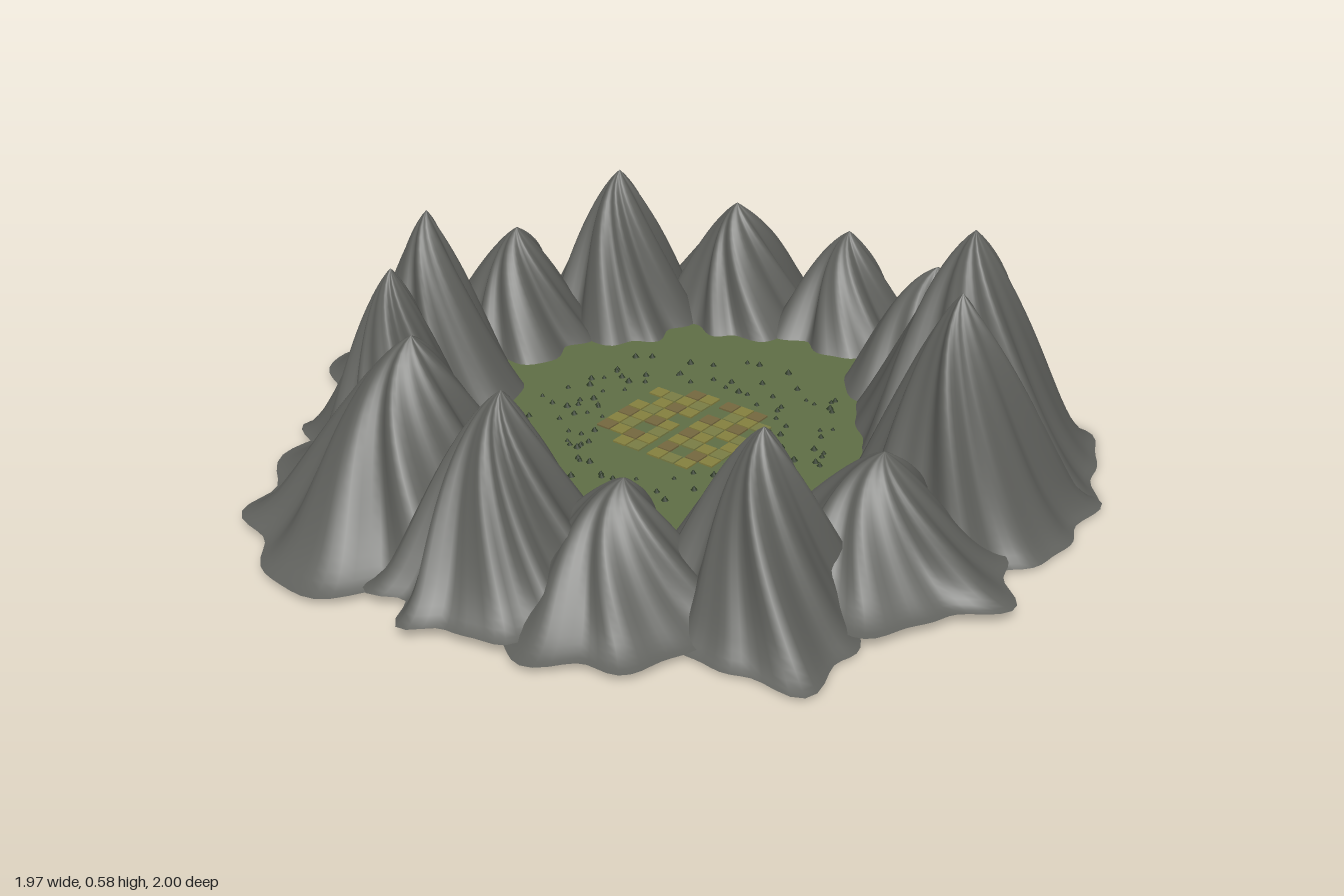
import * as THREE from 'three';

const FLOOR_Y = 0.078;
const paint = (color, side = THREE.FrontSide) => new THREE.MeshStandardMaterial({ color, side });

function seeded(seed) {
  let s = seed;
  return () => (s = (s * 16807) % 2147483647) / 2147483647;
}

// Smooth closed curve through eight radii, starting at +x and turning towards +z
function radiusAt(radii, angle) {
  const n = radii.length;
  const u = ((angle / (2 * Math.PI)) * n + n) % n;
  const i = Math.floor(u), f = u - i;
  const [a, b, c, d] = [-1, 0, 1, 2].map((k) => radii[(i + k + n) % n]);
  return b + 0.5 * f * (c - a + f * (2 * a - 5 * b + 4 * c - d + f * (3 * (b - c) + d - a)));
}

// Open, ridged cone whose ridges swirl around the summit
function mountainGeometry(height, base, radii, seed, ridges) {
  const rand = seeded(seed * 7919 + 13);
  const p1 = rand() * 6.28, p2 = rand() * 6.28, p3 = rand() * 6.28;
  const twist = 0.9 + 0.3 * rand();
  const rings = 20, sides = 80;
  const position = [], index = [];
  for (let i = 0; i <= rings; i++) {
    const t = i / rings;
    // rounded tip, straight flank, gently flared foot
    const fall = 0.4 * Math.pow(1 - t, 1.25) + 0.6 * (0.5 + 0.5 * Math.cos(Math.PI * t));
    for (let j = 0; j < sides; j++) {
      const a = (j / sides) * 2 * Math.PI;
      const ridge = 0.06 * Math.sin(ridges * a + p1) + 0.035 * Math.sin((ridges + 4) * a + p2)
        + 0.04 * Math.sin((ridges - 3) * a + p3);
      const r = t * radiusAt(radii, a) * (1 + ridge * (0.6 + 0.8 * Math.sin(Math.PI * Math.min(t, 0.8))));
      const b = a + twist * (1 - t) * (1 - t);
      position.push(r * Math.cos(b), base + (height - base) * fall, r * Math.sin(b));
      if (i < rings) {
        const k = i * sides, n = (j + 1) % sides;
        if (i > 0) index.push(k + j, k + n, k + sides + j);
        index.push(k + n, k + sides + n, k + sides + j);
      }
    }
  }
  const g = new THREE.BufferGeometry();
  g.setAttribute('position', new THREE.Float32BufferAttribute(position, 3));
  g.setIndex(index);
  g.computeVertexNormals();
  return g;
}

export function createModel() {
  const model = new THREE.Group();
  const add = (parent, name, geometry, material, x, y, z) => {
    const mesh = new THREE.Mesh(geometry, material);
    mesh.name = name;
    mesh.position.set(x, y, z);
    parent.add(mesh);
    return mesh;
  };
  const group = (name) => {
    const g = new THREE.Group();
    g.name = name;
    model.add(g);
    return g;
  };

  // Valley floor, running into the feet of the mountains
  const floor = add(model, 'valleyFloor', new THREE.CircleGeometry(0.65, 64),
    paint(0x5f6e45, THREE.DoubleSide), 0, FLOOR_Y, 0);
  floor.rotation.x = -Math.PI / 2;

  // Ring of mountains
  const range = group('mountainRing');
  const rock = paint(0x5f605c, THREE.DoubleSide);
  let count = 0;
  const mountain = (x, z, height, base, radii, ridges = 7) => {
    count++;
    add(range, 'mountain' + count, mountainGeometry(height, base, radii, count, ridges), rock, x, 0, z);
  };
  mountain(0.29, -0.63, 0.34, 0.03, [0.22, 0.24, 0.38, 0.27, 0.18, 0.16, 0.34, 0.23]);
  mountain(0.52, -0.40, 0.58, 0, [0.34, 0.32, 0.3, 0.35, 0.32, 0.28, 0.31, 0.32]);
  mountain(0.65, -0.13, 0.56, 0.01, [0.28, 0.27, 0.25, 0.27, 0.26, 0.27, 0.27, 0.31]);
  mountain(0.65, 0.16, 0.30, 0.03, [0.29, 0.27, 0.32, 0.3, 0.29, 0.29, 0.26, 0.27]);
  mountain(0.52, 0.42, 0.43, 0.01, [0.24, 0.34, 0.24, 0.29, 0.3, 0.28, 0.24, 0.24], 8);
  mountain(0.28, 0.58, 0.30, 0.02, [0.29, 0.27, 0.33, 0.3, 0.27, 0.25, 0.2, 0.24]);
  mountain(0.02, 0.66, 0.455, 0.03, [0.33, 0.3, 0.29, 0.29, 0.3, 0.25, 0.23, 0.28], 11);
  mountain(-0.29, 0.60, 0.465, 0.02, [0.33, 0.36, 0.4, 0.36, 0.44, 0.36, 0.33, 0.3]);
  mountain(-0.52, 0.42, 0.495, 0.02, [0.25, 0.25, 0.22, 0.22, 0.27, 0.23, 0.2, 0.25], 8);
  mountain(-0.65, 0.16, 0.515, 0.02, [0.3, 0.26, 0.22, 0.23, 0.32, 0.22, 0.19, 0.25]);
  mountain(-0.65, -0.16, 0.36, 0.02, [0.25, 0.26, 0.23, 0.26, 0.23, 0.29, 0.24, 0.25]);
  mountain(-0.52, -0.41, 0.465, 0.02, [0.25, 0.27, 0.24, 0.24, 0.28, 0.24, 0.24, 0.25], 8);
  mountain(-0.29, -0.60, 0.37, 0.03, [0.25, 0.27, 0.2, 0.25, 0.28, 0.24, 0.29, 0.26]);
  mountain(0, -0.68, 0.34, 0.03, [0.22, 0.25, 0.22, 0.25, 0.21, 0.2, 0.21, 0.22]);

  // Checkered crop plots with clipped corners, split by a path down the middle
  const fields = group('fields');
  const plot = new THREE.BoxGeometry(0.036, 0.004, 0.036);
  const crops = [paint(0x85803f), paint(0x75683f), paint(0x7a7d45)];
  for (let i = -4; i < 4; i++) {
    for (let j = -4; j < 4; j++) {
      const x = (i + 0.5) * 0.04 + (i < 0 ? -0.01 : 0.01), z = (j + 0.5) * 0.04;
      if (Math.hypot(x, z) > 0.19 || (i * 3 + j * 5 + 64) % 7 === 0) continue;
      add(fields, 'plot', plot, crops[(i + j + 8) % 2 ? 0 : 1 + ((i + 4) % 2)], x, FLOOR_Y + 0.002, z + 0.005);
    }
  }

  // Scattered trees around the fields
  const woods = group('trees');
  const cone = new THREE.ConeGeometry(0.008, 0.011, 6);
  const leaf = paint(0x25331c);
  const rand = seeded(4242);
  for (let i = 0; i < 110; i++) {
    const a = rand() * 2 * Math.PI, r = 0.2 + 0.18 * rand(), s = 0.7 + 0.5 * rand();
    add(woods, 'tree', cone, leaf, r * Math.cos(a), FLOOR_Y + 0.0055 * s, r * Math.sin(a)).scale.setScalar(s);
  }
  return model;
}
